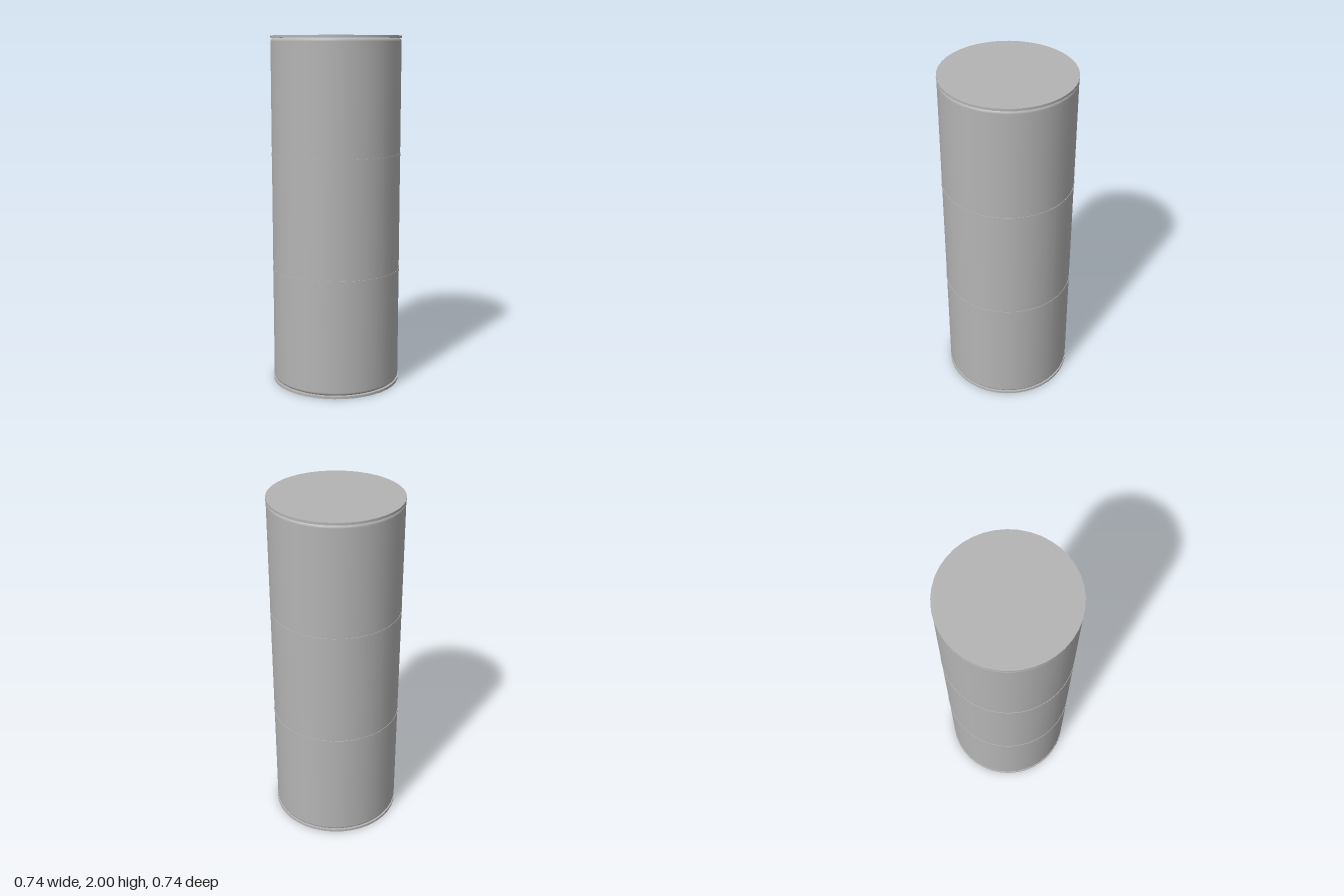
import * as THREE from 'three';

const SIDES = 40;

export function createModel() {
  const group = new THREE.Group();
  const metal = new THREE.MeshStandardMaterial({ color: 0xb4b4b4 });
  metal.name = 'grey metal';

  const add = (name, geometry, y = 0) => {
    const mesh = new THREE.Mesh(geometry, metal);
    mesh.name = name;
    mesh.position.y = y;
    group.add(mesh);
  };

  // Drum wall with small rounded shoulders at both ends
  const R = 0.367, r = 0.02, low = 0.014, high = 1.988;
  const profile = [];
  for (let i = 0; i <= 5; i++) {
    const a = (i / 5) * Math.PI / 2;
    profile.push(new THREE.Vector2(R - r + r * Math.sin(a), low + r - r * Math.cos(a)));
  }
  for (let i = 0; i <= 5; i++) {
    const a = (i / 5) * Math.PI / 2;
    profile.push(new THREE.Vector2(R - r + r * Math.cos(a), high - r + r * Math.sin(a)));
  }
  add('drumBody', new THREE.LatheGeometry(profile, SIDES));

  // Flat end plates, slightly wider than the rounded shoulders
  const plate = new THREE.CylinderGeometry(0.369, 0.369, 0.014, SIDES);
  add('bottomPlate', plate, 0.007);
  add('topPlate', plate, 1.993);

  // Two thin hoops dividing the wall in thirds
  const hoop = new THREE.CylinderGeometry(0.3695, 0.3695, 0.015, SIDES);
  add('lowerHoop', hoop, 0.67);
  add('upperHoop', hoop, 1.338);

  return group;
}
